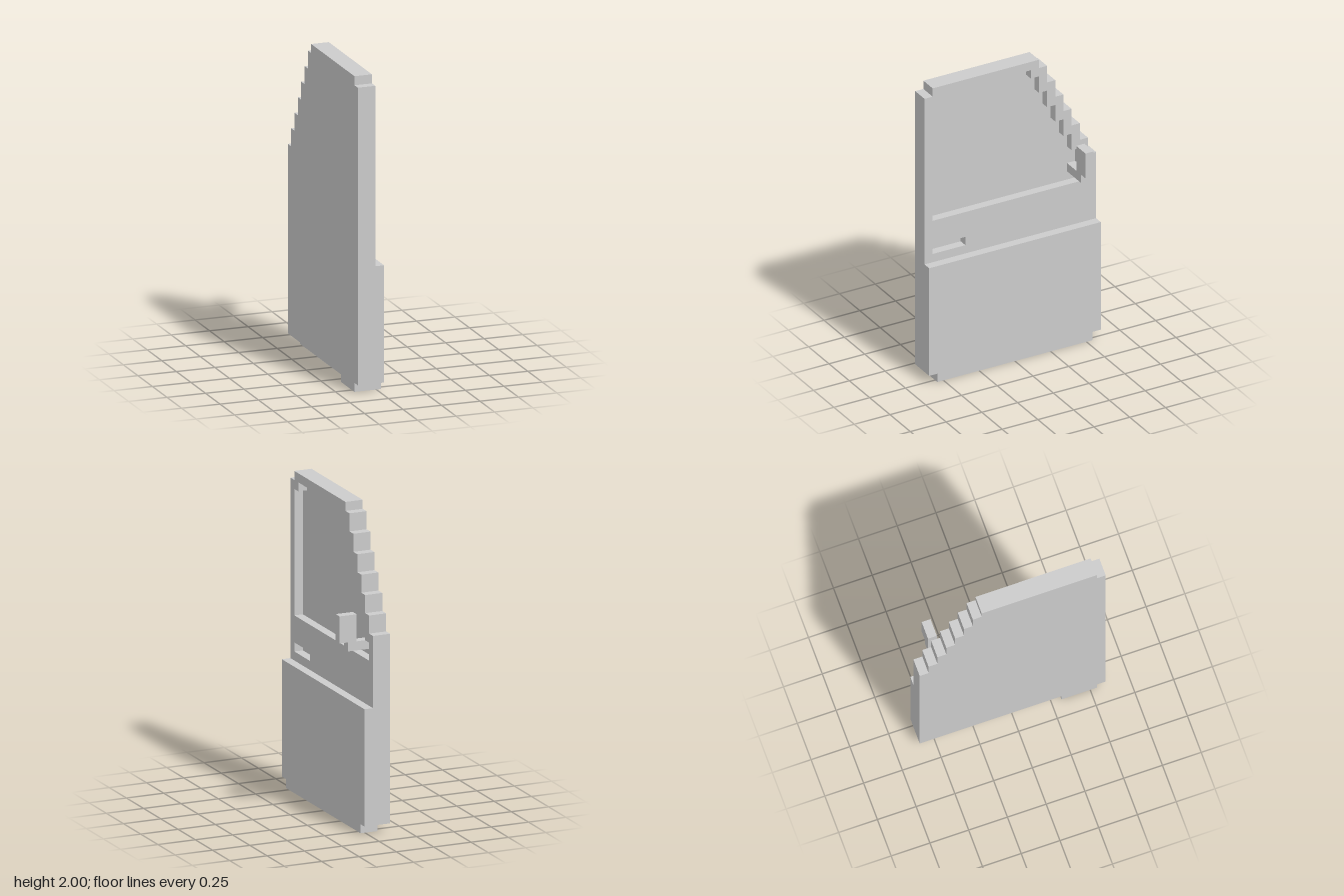
import * as THREE from 'three';

const U = 2 / 35; // one voxel

// Extrude a side profile (s = voxels from the front edge, y = voxels up) across x0..x1
function slab(name, points, x0, x1, holes = []) {
  const toVectors = (list) => list.map(([s, y]) => new THREE.Vector2(s, y));
  const shape = new THREE.Shape(toVectors(points));
  for (const hole of holes) shape.holes.push(new THREE.Path(toVectors(hole)));
  const geometry = new THREE.ExtrudeGeometry(shape, { depth: x1 - x0, bevelEnabled: false });
  geometry.rotateY(Math.PI / 2);
  geometry.translate(x0 - 2.5, 0, 10.5);
  geometry.scale(U, U, U);
  const material = new THREE.MeshStandardMaterial({ color: 0xcccccc, flatShading: true });
  const mesh = new THREE.Mesh(geometry, material);
  mesh.name = name;
  return mesh;
}

const rect = (s0, y0, s1, y1) => [[s0, y0], [s1, y0], [s1, y1], [s0, y1]];

// Staircase running up and forward: each step is one voxel deep and two high
function stairs(s, y, count) {
  const points = [];
  for (let i = 0; i < count; i++) {
    points.push([s - i, y + 2 * i], [s - i - 1, y + 2 * i]);
  }
  return points;
}

export function createModel() {
  const door = new THREE.Group();
  door.name = 'door';

  // Stepped upper edge shared by the skin and the frame
  const upperEdge = [...stairs(21, 22, 7), [14, 35], [1, 35], [1, 34], [0, 34]];
  const skinBottom = [[0, 1], [1, 1], [1, 0], [5, 0], [5, 1], [21, 1]];
  const bottom = [[0, 1], [1, 1], [1, 0], [20, 0], [20, 1], [21, 1]];

  // Window recess and handle slot
  const windowHole = [
    [1, 19], [20, 19], ...stairs(20, 21, 7), [13, 34], [2, 34], [2, 33], [1, 33],
  ];
  const handleSlot = rect(1, 15, 5, 16);

  door.add(slab('innerSkin', [...skinBottom, ...upperEdge], 0, 1));
  door.add(slab('windowFrame', [...bottom, ...upperEdge], 1, 2, [windowHole, handleSlot]));
  door.add(slab('lowerPanel', [...bottom, [21, 14], [0, 14]], 2, 3));

  // Side mirror on its arm
  const mirror = new THREE.Group();
  mirror.name = 'sideMirror';
  mirror.add(slab('mirrorArm', rect(18, 20, 19, 21), 1, 4));
  mirror.add(slab('mirrorHead', rect(18, 21, 19, 24), 3, 5));
  door.add(mirror);

  return door;
}
